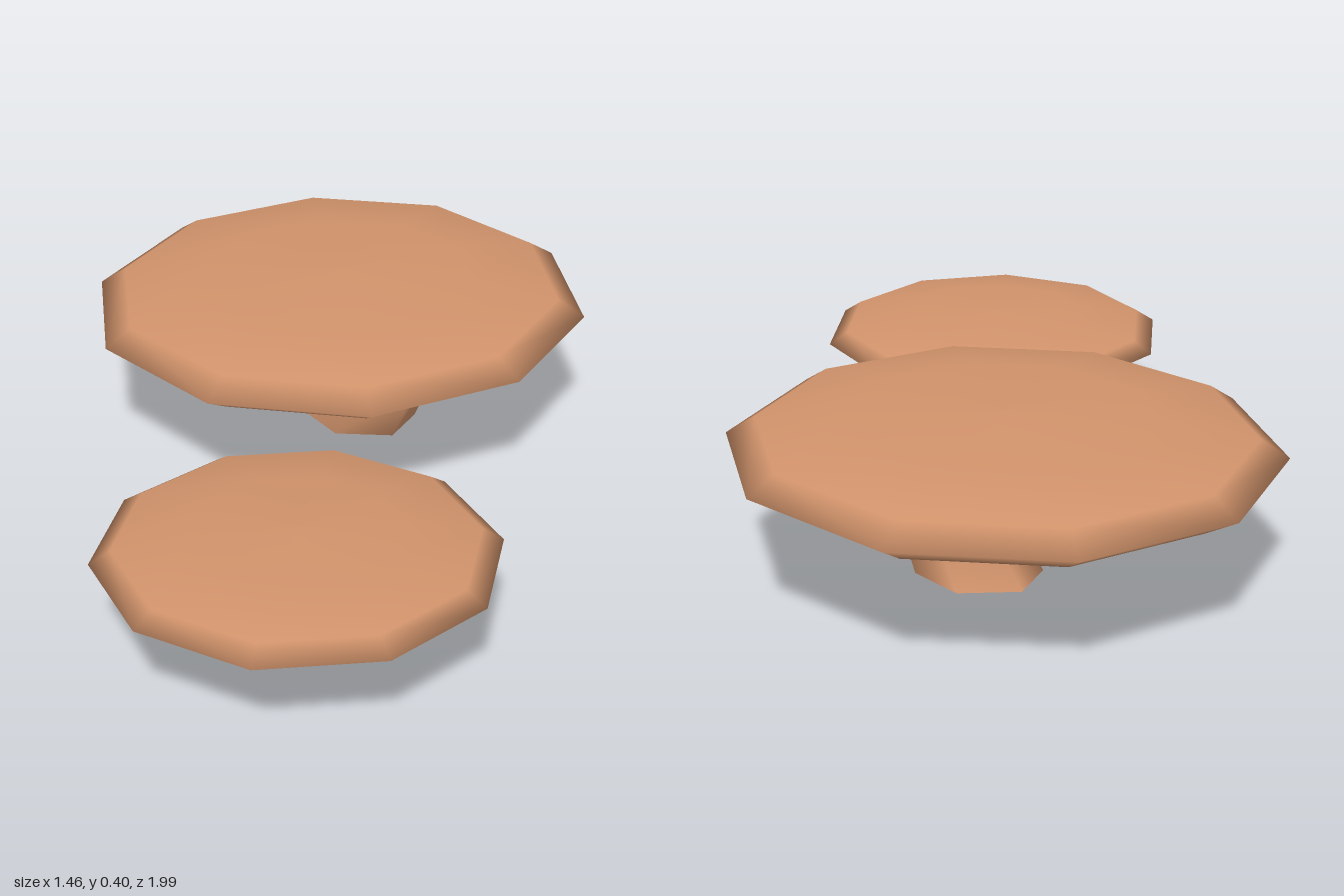
import * as THREE from 'three';
import { mergeVertices } from 'three/addons/utils/BufferGeometryUtils.js';

const SIDES = 6;

// Flat lens-shaped cap turned from a half profile of [radius, height] points
function makeCap(name, profile, phase, position, tilt, material) {
  const points = profile.map(([r, y]) => new THREE.Vector2(r, y));
  const cap = new THREE.Mesh(new THREE.LatheGeometry(points, 10, phase), material);
  cap.name = name;
  cap.position.set(...position);
  cap.rotation.set(tilt[0], 0, tilt[1]);
  return cap;
}

// Bent stem lofted through level rings [x, y, z, half width, half depth], base first
function makeStem(name, rings, material) {
  const rows = rings.length - 1;
  let geometry = new THREE.CylinderGeometry(1, 1, 1, SIDES, rows);
  geometry.deleteAttribute('uv');
  geometry = mergeVertices(geometry, 1e-4);
  const p = geometry.attributes.position;
  for (let i = 0; i < p.count; i++) {
    const [x, y, z, w, d] = rings[Math.round((p.getY(i) + 0.5) * rows)];
    // hexagon corners lie on z, so widen x to reach the full half width
    p.setXYZ(i, x + p.getX(i) * w / Math.cos(Math.PI / SIDES), y, z + p.getZ(i) * d);
  }
  geometry.computeVertexNormals();
  const stem = new THREE.Mesh(geometry, material);
  stem.name = name;
  return stem;
}

export function createModel() {
  const model = new THREE.Group();
  model.name = 'mushrooms';
  const tan = new THREE.MeshStandardMaterial({ color: 0xd2946c });
  tan.name = 'mushroom tan';

  // Large mushroom at the back
  const large = new THREE.Group();
  large.name = 'largeMushroom';
  large.add(
    makeCap('largeCap',
      [[0, -0.068], [0.34, -0.062], [0.54, -0.047], [0.62, 0], [0.555, 0.042], [0.34, 0.073], [0, 0.084]],
      0, [-0.143, 0.313, -0.377], [0, 0.02], tan),
    makeStem('largeStem', [
      [-0.08, 0, -0.38, 0.13, 0.125],
      [0.022, 0.172, -0.343, 0.108, 0.113],
      [-0.07, 0.27, -0.365, 0.115, 0.105],
    ], tan));

  // Small mushroom in front
  const small = new THREE.Group();
  small.name = 'smallMushroom';
  small.add(
    makeCap('smallCap',
      [[0, -0.048], [0.23, -0.046], [0.375, -0.036], [0.442, 0], [0.395, 0.031], [0.23, 0.054], [0, 0.062]],
      Math.PI / 2, [0.287, 0.234, 0.573], [-0.024, 0.015], tan),
    makeStem('smallStem', [
      [0.31, 0, 0.222, 0.09, 0.092],
      [0.3, 0.08, 0.23, 0.083, 0.086],
      [0.308, 0.138, 0.32, 0.076, 0.088],
      [0.31, 0.205, 0.51, 0.045, 0.045],
    ], tan));

  model.add(large, small);
  return model;
}
